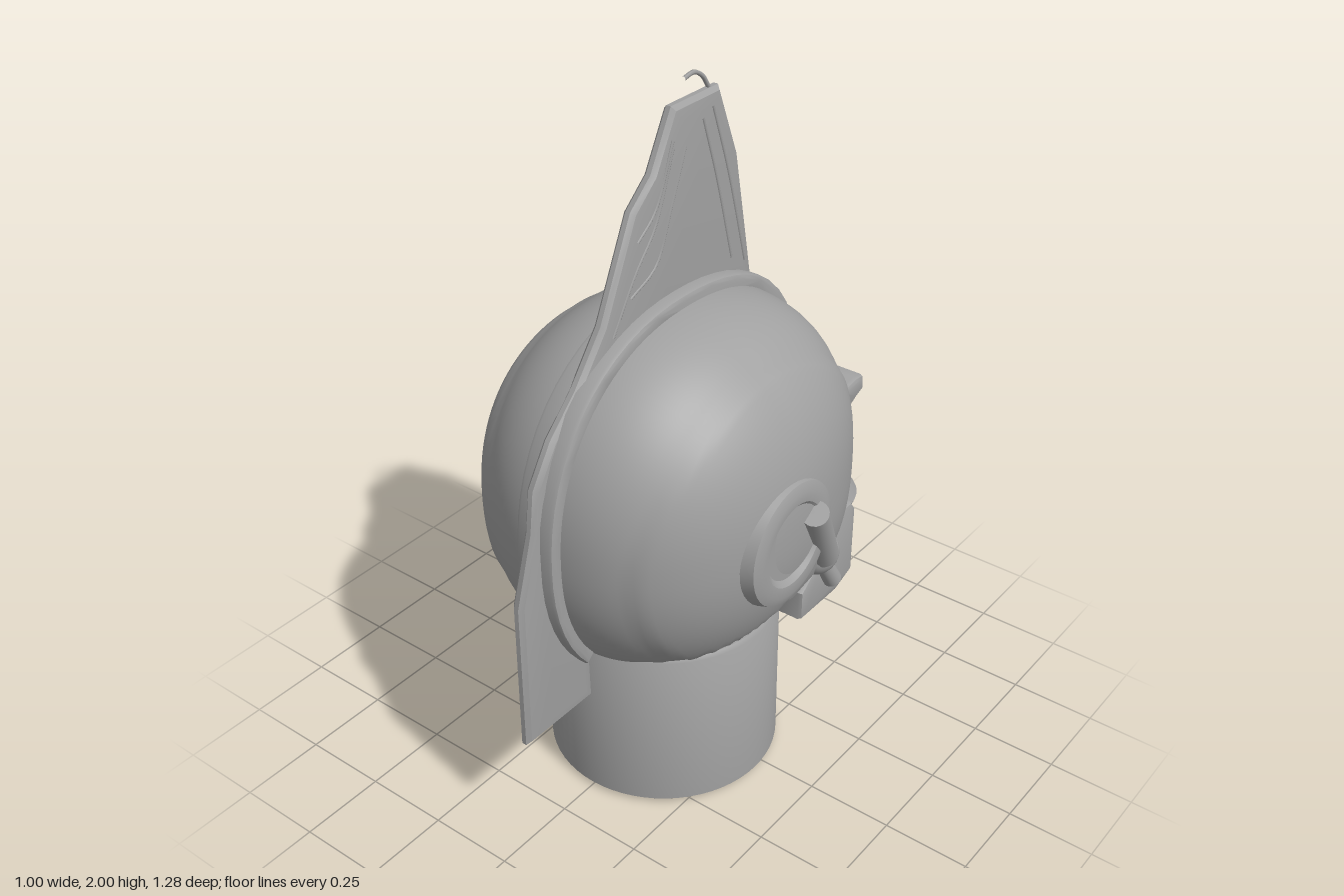
import * as THREE from 'three';
import { toCreasedNormals } from 'three/addons/utils/BufferGeometryUtils.js';
import { RoundedBoxGeometry } from 'three/addons/geometries/RoundedBoxGeometry.js';

const grey = new THREE.MeshStandardMaterial({ color: 0xa0a0a0 });
grey.name = 'grey';

const CY = 0.9, CZ = 0.03;

function add(parent, name, geo, x = 0, y = 0, z = 0) {
  const m = new THREE.Mesh(geo, grey);
  m.name = name;
  m.position.set(x, y, z);
  parent.add(m);
  return m;
}

// Boxy ellipsoid of the shell: direction to surface point
function shellPoint(d, grow = 1) {
  const p = 2.2 + 0.4 * Math.max(0, -d.z);
  const s = Math.pow(Math.abs(d.x) ** p + Math.abs(d.y) ** p + Math.abs(d.z) ** p, -1 / p) * grow;
  return new THREE.Vector3(d.x * s * 0.44, CY + d.y * s * 0.52, CZ + d.z * s * 0.51);
}

// Side profile of [z, y] points, extruded along x and centred
function sideExtrude(pts, width, bevel = 0.01, inset = bevel) {
  const shape = new THREE.Shape(pts.map(p => new THREE.Vector2(p[0], p[1])));
  const depth = width - 2 * bevel;
  const g = new THREE.ExtrudeGeometry(shape, {
    depth, bevelThickness: bevel, bevelSize: inset, bevelOffset: -inset, bevelSegments: 2
  });
  g.translate(0, 0, -depth / 2);
  g.rotateY(-Math.PI / 2);
  return toCreasedNormals(g, 0.6);
}

function tube(pts, r, n = 16) {
  const c = new THREE.CatmullRomCurve3(pts.map(p => new THREE.Vector3(...p)));
  return new THREE.TubeGeometry(c, n, r, 6);
}

function rod(parent, name, a, b, r) {
  const A = new THREE.Vector3(...a), B = new THREE.Vector3(...b);
  const d = B.clone().sub(A);
  const m = add(parent, name, new THREE.CylinderGeometry(r, r * 0.9, d.length(), 20));
  m.position.copy(A).add(B).multiplyScalar(0.5);
  m.quaternion.setFromUnitVectors(new THREE.Vector3(0, 1, 0), d.normalize());
}

function shellGeometry() {
  const g = new THREE.SphereGeometry(1, 96, 80);
  g.rotateZ(Math.PI / 2);
  const pos = g.attributes.position, d = new THREE.Vector3();
  for (let i = 0; i < pos.count; i++) {
    d.fromBufferAttribute(pos, i).normalize();
    const v = shellPoint(d);
    // raised oval panel on each side
    const e = Math.hypot((v.z - 0.02) / 0.47, (v.y - 0.88) / 0.44);
    v.x += Math.sign(v.x) * 0.014 * (1 - THREE.MathUtils.smoothstep(e, 0.95, 1));
    // slanted lower rim
    v.y = Math.max(v.y, 0.52 + 0.3 * (0.4 - v.z));
    pos.setXYZ(i, v.x, v.y, v.z);
  }
  return toCreasedNormals(g, 0.6);
}

function maskGeometry() {
  // rows from top to bottom: y, half width, front z
  const rows = [[0.72, 0.24, -0.5], [0.715, 0.3, -0.55], [0.67, 0.32, -0.585], [0.62, 0.3, -0.575],
    [0.57, 0.25, -0.56], [0.51, 0.2, -0.54], [0.47, 0.12, -0.47]];
  const g = new THREE.CylinderGeometry(1, 1, 1, 48, rows.length - 1);
  const pos = g.attributes.position;
  for (let i = 0; i < pos.count; i++) {
    const x = pos.getX(i), z = pos.getZ(i);
    const [y, w, f] = rows[Math.round((0.5 - pos.getY(i)) * (rows.length - 1))];
    const m = Math.pow(Math.abs(x) ** 2.8 + Math.abs(z) ** 2.8, 1 / 2.8) || 1;
    pos.setXYZ(i, x / m * w, y, -0.36 + z / m * (z < 0 ? -0.36 - f : 0.06));
  }
  return toCreasedNormals(g, 0.8);
}

export function createModel() {
  const model = new THREE.Group();
  model.name = 'crestedHelmetBust';

  // Neck stand
  const neck = [[0, 0], [0.32, 0], [0.332, 0.012], [0.328, 0.5], [0.32, 0.512], [0.26, 0.515], [0.26, 0.62], [0, 0.62]]
    .map(p => new THREE.Vector2(...p));
  add(model, 'neck', toCreasedNormals(new THREE.LatheGeometry(neck, 64), 0.6), 0, 0, 0.045);

  add(model, 'helmetShell', shellGeometry());

  // Raised band from brow to nape
  const outer = [], inner = [];
  for (let i = 0; i <= 40; i++) {
    const a = THREE.MathUtils.lerp(-0.32, Math.PI + 0.75, i / 40);
    const d = new THREE.Vector3(0, Math.sin(a + 0.62), -Math.cos(a + 0.62));
    if (a + 0.62 > Math.PI + 0.75) break;
    const o = shellPoint(d, 1.06), n = shellPoint(d, 0.94);
    outer.push([o.z, o.y]);
    inner.unshift([n.z, n.y]);
  }
  add(model, 'crestBand', sideExtrude([...outer, ...inner], 0.12, 0.012));

  // Tall thin fin and its tail
  const fin = [[0.645, 0.35], [0.645, 0.8], [0.585, 1.0], [0.57, 1.12], [0.5, 1.23], [0.4, 1.33], [0.3, 1.46],
    [0.18, 1.72], [0.1, 1.79], [0.02, 1.94], [-0.17, 1.94], [-0.25, 1.74], [-0.325, 1.36], [-0.2, 1.2],
    [0.2, 1.1], [0.4, 0.9], [0.38, 0.35]];
  add(model, 'crestFin', sideExtrude(fin, 0.046, 0.016, 0.04));

  // Hair strands on both faces of the fin
  const strands = [
    [[0.27, 1.42], [0.18, 1.56], [0.1, 1.66], [0.03, 1.84]],
    [[0.2, 1.5], [0.1, 1.55], [0.04, 1.68], [-0.02, 1.83]],
    [[0.17, 1.64], [0.1, 1.7], [0.03, 1.86]],
    [[-0.13, 1.9], [-0.2, 1.7], [-0.28, 1.42]],
    [[-0.09, 1.88], [-0.15, 1.7], [-0.22, 1.45]]
  ];
  for (const s of [-1, 1]) for (const p of strands)
    add(model, 'crestStrand', tube(p.map(([z, y]) => [s * 0.021, y, z]), 0.005));
  add(model, 'crestCurl', tube([[0, 1.99, -0.04], [0, 1.995, -0.08], [0, 1.975, -0.115], [0, 1.94, -0.14]], 0.006));

  // Brow visor and slatted eyepiece
  add(model, 'browVisor', sideExtrude([[-0.38, 1.05], [-0.44, 1.01], [-0.49, 0.99], [-0.55, 1.0], [-0.585, 0.995],
    [-0.592, 0.95], [-0.555, 0.935], [-0.51, 0.91], [-0.38, 0.91]], 0.47, 0.012));
  for (let i = 0; i < 3; i++)
    add(model, 'eyeSlat', new RoundedBoxGeometry(0.4 - i * 0.02, 0.014, 0.16, 2, 0.005), 0, 0.89 - i * 0.025, -0.45 + i * 0.008);
  add(model, 'eyepieceBack', new RoundedBoxGeometry(0.36, 0.18, 0.14, 3, 0.03), 0, 0.8, -0.44);
  add(model, 'nosePiece', new RoundedBoxGeometry(0.032, 0.145, 0.07, 3, 0.01), 0, 0.785, -0.605);

  // Face mask and chin piece
  add(model, 'faceMask', maskGeometry());
  add(model, 'chinBracket', sideExtrude([[-0.29, 0.48], [-0.29, 0.32], [-0.5, 0.315], [-0.5, 0.365], [-0.42, 0.37],
    [-0.385, 0.42], [-0.42, 0.465], [-0.47, 0.49]], 0.16));
  add(model, 'chinNub', new RoundedBoxGeometry(0.16, 0.07, 0.115, 4, 0.025), 0, 0.335, -0.542);
  const wing = new THREE.Shape([[-0.2, 0.27], [-0.2, 0.36], [-0.09, 0.5], [0.09, 0.5], [0.2, 0.36], [0.2, 0.27]]
    .map(p => new THREE.Vector2(...p)));
  const wingGeo = new THREE.ExtrudeGeometry(wing, { depth: 0.035, bevelEnabled: false });
  wingGeo.rotateX(-Math.PI / 2);
  add(model, 'chinPlate', wingGeo, 0, 0.315, 0);
  add(model, 'chinStrap', new RoundedBoxGeometry(0.3, 0.025, 0.24, 2, 0.008), 0, 0.475, -0.3);

  // Ear cups, cheek clasps and levers, mirrored
  for (const s of [1, -1]) {
    const side = new THREE.Group();
    side.name = s > 0 ? 'leftSide' : 'rightSide';
    side.scale.x = s;
    model.add(side);

    const cup = [[0.19, 0], [0.175, 0.05], [0.15, 0.06], [0.12, 0.058], [0.105, 0.045], [0, 0.045]]
      .map(p => new THREE.Vector2(...p));
    const cupGeo = new THREE.LatheGeometry(cup, 40);
    cupGeo.rotateZ(-Math.PI / 2);
    add(side, 'earCup', toCreasedNormals(cupGeo, 0.5), 0.4, 0.88, 0.08);

    add(side, 'cheekClasp', sideExtrude([[-0.075, 0.5], [-0.075, 0.59], [-0.14, 0.64], [-0.22, 0.77], [-0.31, 0.77],
      [-0.33, 0.74], [-0.33, 0.53], [-0.25, 0.5]], 0.11, 0.015), 0.335);
    add(side, 'maskArm', new RoundedBoxGeometry(0.06, 0.15, 0.16, 3, 0.025), 0.28, 0.63, -0.36);
    rod(side, 'leverHandle', [0.465, 0.94, 0.005], [0.42, 0.72, -0.12], 0.042);
    add(side, 'leverBall', new THREE.SphereGeometry(0.068, 24, 16), 0.385, 0.71, -0.13);
    rod(side, 'leverPin', [0.39, 0.71, -0.13], [0.4, 0.575, -0.205], 0.027);
  }
  return model;
}
